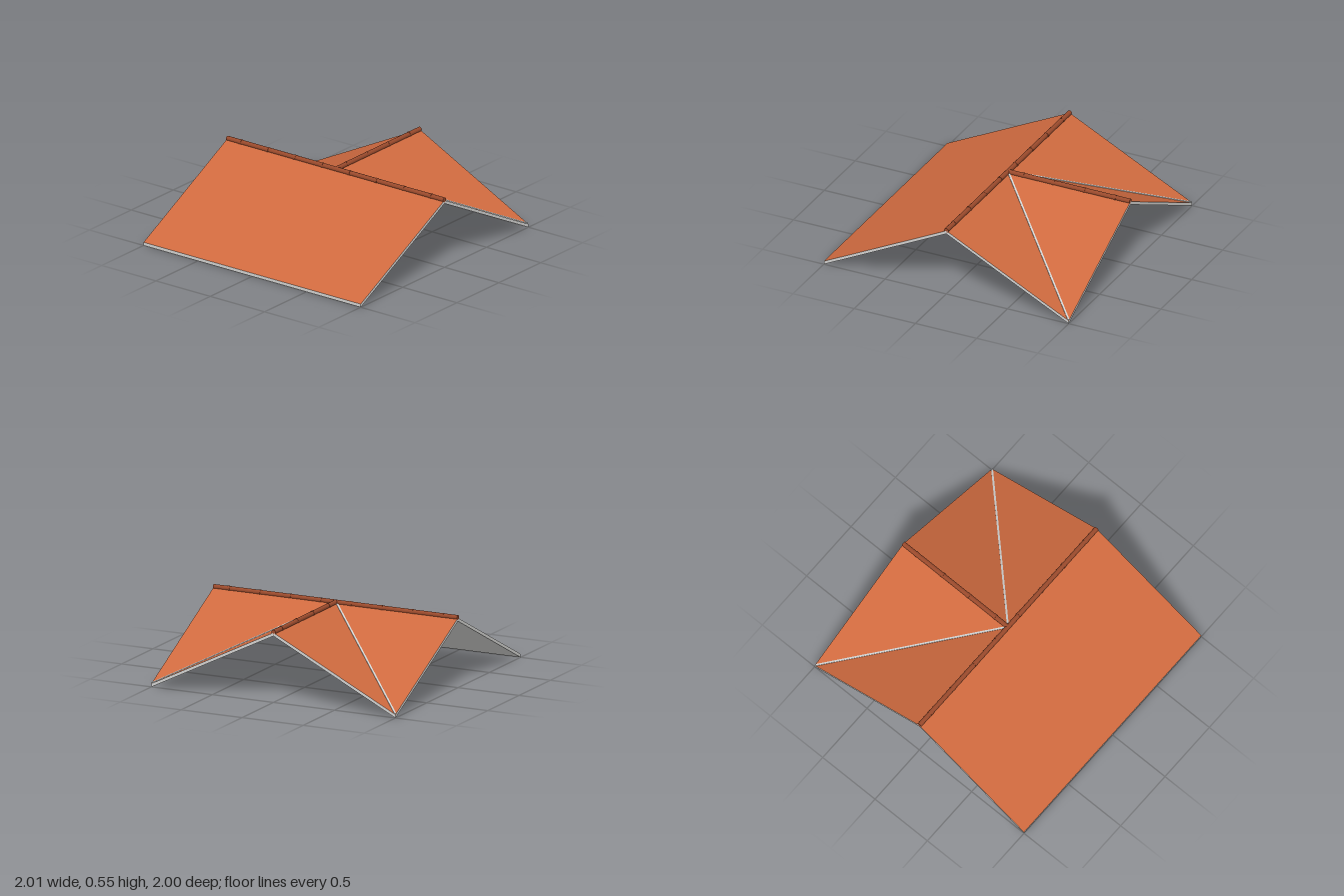
import * as THREE from 'three';

const EAVE = 0.025, RIDGE = 0.525, THICK = 0.025;

const mat = (name, color, extra = {}) => {
  const m = new THREE.MeshStandardMaterial({ color, ...extra });
  m.name = name;
  return m;
};

// Sloping slab: tiled top face, plain underside and plain exposed edges.
// Points run counter-clockwise seen from above; openEdges lists the outer sides.
function slabGeometry(points, openEdges) {
  const top = points.map(p => new THREE.Vector3(...p));
  const low = top.map(p => p.clone().setY(p.y - THICK));
  const n = top.length, pos = [];
  const tri = (...corners) => corners.forEach(c => pos.push(c.x, c.y, c.z));
  for (let i = 1; i < n - 1; i++) tri(top[0], top[i], top[i + 1]);
  const topCount = pos.length / 3;
  for (let i = 1; i < n - 1; i++) tri(low[0], low[i + 1], low[i]);
  for (const i of openEdges) {
    const j = (i + 1) % n;
    tri(low[i], low[j], top[j]);
    tri(low[i], top[j], top[i]);
  }
  const g = new THREE.BufferGeometry();
  g.setAttribute('position', new THREE.Float32BufferAttribute(pos, 3));
  g.computeVertexNormals();
  g.addGroup(0, topCount, 0);
  g.addGroup(topCount, pos.length / 3 - topCount, 1);
  return g;
}

export function createModel() {
  const model = new THREE.Group();
  model.name = 'crossGableRoof';
  const tile = mat('terracotta tile', 0xcf6a3f);
  const trim = mat('pale grey trim', 0xd2d2d0);
  const ridgeMat = mat('dark ridge tile', 0x9a4a2c);

  const addSlab = (name, points, openEdges) => {
    const mesh = new THREE.Mesh(slabGeometry(points, openEdges), [tile, trim]);
    mesh.name = name;
    model.add(mesh);
  };

  // Front slope
  addSlab('frontSlope',
    [[-1, EAVE, 1], [1, EAVE, 1], [1, RIDGE, 0], [-1, RIDGE, 0]], [0, 1, 3]);

  // Rear slopes of the main roof and of the wing, with the valleys between them
  const rear = [[0, RIDGE, 0], [1, RIDGE, 0], [1, EAVE, -1]];
  const wing = [[0, RIDGE, 0], [1, EAVE, -1], [0, RIDGE, -1]];
  const mirror = pts => pts.map(([x, y, z]) => [-x, y, z]).reverse();
  addSlab('rearSlopeLeft', rear, [1]);
  addSlab('rearSlopeRight', mirror(rear), [0]);
  addSlab('wingSlopeLeft', wing, [1]);
  addSlab('wingSlopeRight', mirror(wing), [0]);

  for (const side of [1, -1]) {
    const valley = new THREE.Mesh(new THREE.BoxGeometry(0.014, 0.009, 1.49), trim);
    valley.name = side > 0 ? 'valleyLeft' : 'valleyRight';
    valley.position.set(side * 0.5, (EAVE + RIDGE) / 2 + 0.003, -0.5);
    valley.lookAt(side, EAVE + 0.003, -1);
    model.add(valley);
  }

  // Round ridge caps with a slight collar on every tile
  const addRidge = (name, length) => {
    const ridge = new THREE.Group();
    ridge.name = name;
    const cap = new THREE.Mesh(new THREE.CylinderGeometry(0.018, 0.018, length, 12), ridgeMat);
    cap.name = 'ridgeCap';
    ridge.add(cap);
    for (let y = -length / 2 + 0.125; y < length / 2; y += 0.25) {
      const collar = new THREE.Mesh(new THREE.CylinderGeometry(0.02, 0.02, 0.02, 12), ridgeMat);
      collar.name = 'ridgeCollar';
      collar.position.y = y;
      ridge.add(collar);
    }
    model.add(ridge);
    return ridge;
  };
  const main = addRidge('mainRidge', 2);
  main.rotation.z = Math.PI / 2;
  main.position.y = 0.528;
  const wingRidge = addRidge('wingRidge', 1);
  wingRidge.rotation.x = Math.PI / 2;
  wingRidge.position.set(0, 0.528, -0.5);

  return model;
}
